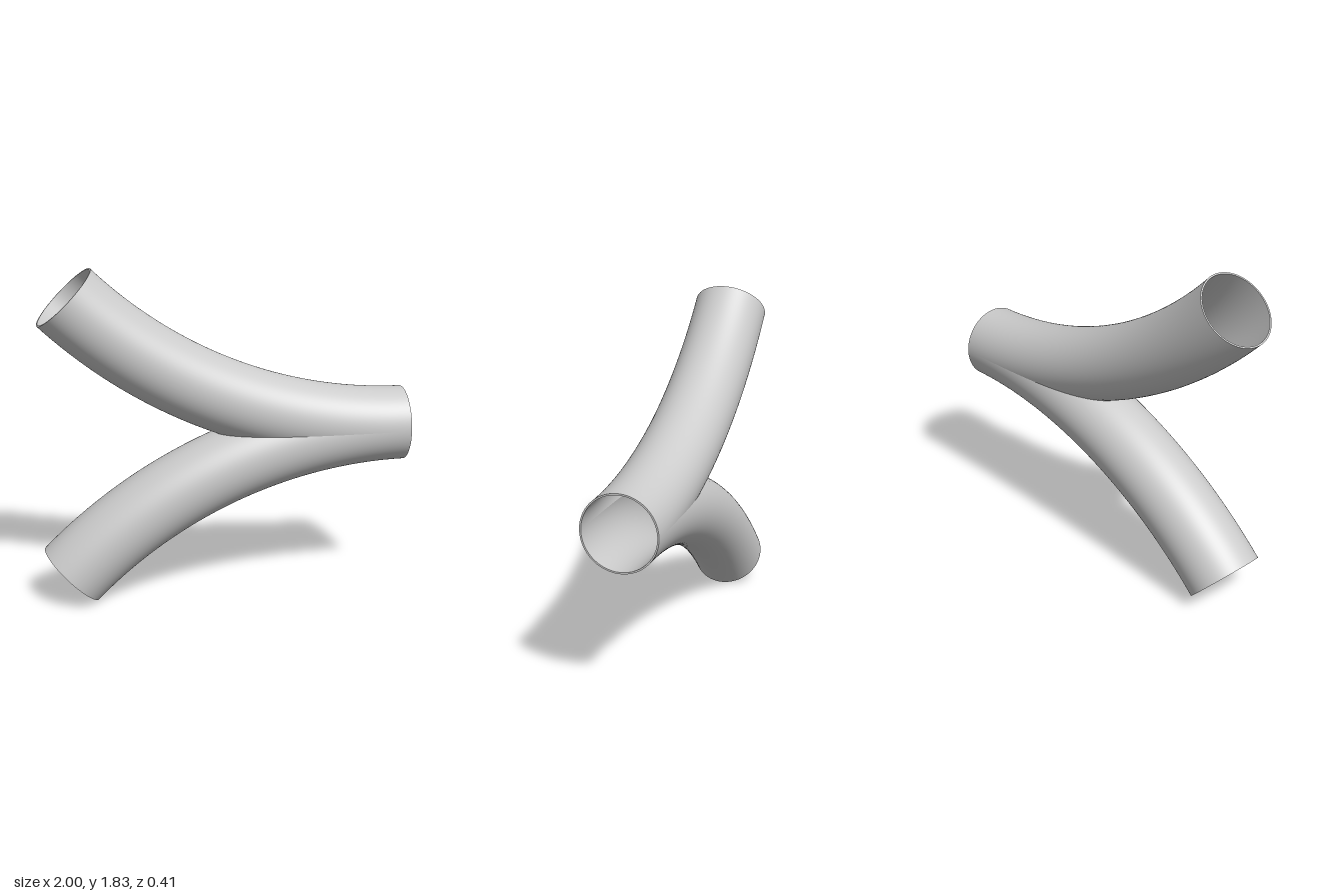
import * as THREE from 'three';

const BEND = 2.623;          // centreline radius of each branch
const SWEEP = Math.PI / 4;   // each branch turns 45 degrees
const OUTER = 0.205, INNER = 0.196;
const MID_Y = 0.913;         // height of the plane where the branches meet
const AROUND = 72;

// One skin of the upper branch, trimmed where it meets the lower one at y = 0
function branchSkin(radius, inward) {
  const crotch = Math.acos(BEND / (BEND + radius));
  const angles = [];
  for (let i = 0; i <= 40; i++) angles.push(crotch * Math.sin((i / 40) * Math.PI / 2));
  for (let i = 1; i <= 32; i++) angles.push(crotch + (SWEEP - crotch) * i / 32);

  const position = [], normal = [], index = [];
  const facing = inward ? -1 : 1;
  angles.forEach((t, i) => {
    const s = Math.sin(t), c = Math.cos(t);
    // Portion of the cross-section lying above the meeting plane
    const limit = Math.acos(Math.max(-1, -BEND * (1 - c) / (radius * c)));
    for (let j = 0; j <= AROUND; j++) {
      const phi = limit * (2 * j / AROUND - 1);
      const nx = Math.cos(phi) * s, ny = Math.cos(phi) * c, nz = Math.sin(phi);
      position.push(1 - BEND * s + radius * nx, BEND * (1 - c) + radius * ny, radius * nz);
      normal.push(facing * nx, facing * ny, facing * nz);
      if (i < angles.length - 1 && j < AROUND) {
        const a = i * (AROUND + 1) + j, b = a + AROUND + 1;
        if (inward) index.push(a, a + 1, b, b, a + 1, b + 1);
        else index.push(a, b, a + 1, b, b + 1, a + 1);
      }
    }
  });
  const geometry = new THREE.BufferGeometry();
  geometry.setAttribute('position', new THREE.Float32BufferAttribute(position, 3));
  geometry.setAttribute('normal', new THREE.Float32BufferAttribute(normal, 3));
  geometry.setIndex(index);
  return geometry;
}

export function createModel() {
  const model = new THREE.Group();
  model.name = 'yPipe';
  const material = new THREE.MeshStandardMaterial({ color: 0xcccccc });

  // Thin rims closing the wall at the shared mouth and at the branch end
  const mouthRim = new THREE.RingGeometry(INNER, OUTER, AROUND, 1, 0, Math.PI)
    .rotateY(Math.PI / 2).translate(1, 0, 0);
  const endRim = new THREE.RingGeometry(INNER, OUTER, AROUND)
    .rotateY(-Math.PI / 2).rotateZ(-SWEEP)
    .translate(1 - BEND * Math.sin(SWEEP), BEND * (1 - Math.cos(SWEEP)), 0);

  const parts = {
    outerWall: branchSkin(OUTER, false),
    innerWall: branchSkin(INNER, true),
    mouthRim,
    endRim,
  };

  // The lower branch is the upper one turned half round about the pipe axis
  for (const [name, turn] of [['upperBranch', 0], ['lowerBranch', Math.PI]]) {
    const branch = new THREE.Group();
    branch.name = name;
    branch.position.y = MID_Y;
    branch.rotation.x = turn;
    for (const [partName, geometry] of Object.entries(parts)) {
      const mesh = new THREE.Mesh(geometry, material);
      mesh.name = partName;
      branch.add(mesh);
    }
    model.add(branch);
  }
  return model;
}
